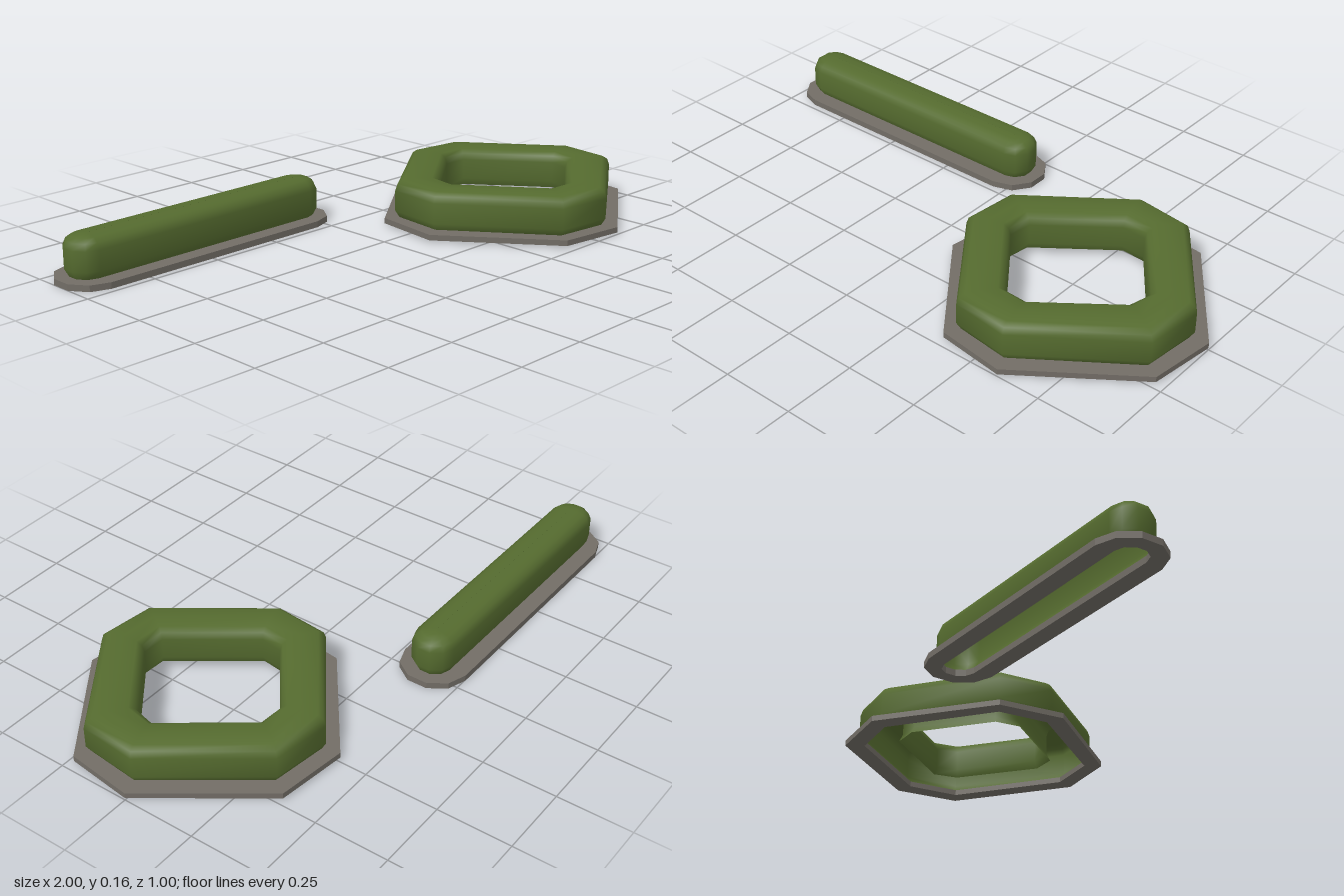
import * as THREE from 'three';

const hedgeGreen = new THREE.MeshStandardMaterial({ color: 0x556b2f, side: THREE.DoubleSide });
hedgeGreen.name = 'hedge green';
const kerbStone = new THREE.MeshStandardMaterial({ color: 0x726d66 });
kerbStone.name = 'kerb stone';

// Smooth skin through closed [x, z] outlines placed at the given heights
function loft(outlines, heights) {
  const n = outlines[0].length, pos = [], idx = [];
  outlines.forEach((o, j) => o.forEach(([x, z]) => pos.push(x, heights[j], z)));
  for (let j = 0; j < outlines.length - 1; j++) {
    for (let i = 0; i < n; i++) {
      const a = j * n + i, b = j * n + (i + 1) % n, c = a + n, d = b + n;
      idx.push(a, c, b, b, c, d);
    }
  }
  const g = new THREE.BufferGeometry();
  g.setAttribute('position', new THREE.Float32BufferAttribute(pos, 3));
  g.setIndex(idx);
  g.computeVertexNormals();
  return g;
}

// Flat frame between two [x, z] outlines
function frame(outer, inner, bottom, top) {
  const points = (o) => o.map(([x, z]) => new THREE.Vector2(x, z));
  const shape = new THREE.Shape(points(outer));
  shape.holes.push(new THREE.Path(points(inner)));
  const g = new THREE.ExtrudeGeometry(shape, { depth: top - bottom, bevelEnabled: false });
  return g.rotateX(Math.PI / 2).translate(0, top, 0);
}

const lerpOutline = (a, b, t) =>
  a.map(([x, z], i) => [x + (b[i][0] - x) * t, z + (b[i][1] - z) * t]);

// Long outline with faceted round ends
function longOutline(halfLength, halfWidth) {
  const cx = -0.47, cz = -0.387, out = [];
  const straight = halfLength - halfWidth * 0.9;
  for (const side of [1, -1]) {
    for (let k = 0; k <= 5; k++) {
      const a = -Math.PI / 2 + (k * Math.PI) / 5;
      out.push([
        cx + side * (straight + Math.cos(a) * halfWidth * 0.9 / Math.cos(Math.PI / 10)),
        cz + side * Math.sin(a) * halfWidth,
      ]);
    }
  }
  return out;
}

function add(group, name, geometry, material) {
  const mesh = new THREE.Mesh(geometry, material);
  mesh.name = name;
  group.add(mesh);
}

export function createModel() {
  const model = new THREE.Group();
  model.name = 'hedges';

  // Eight-sided ring hedge, open underneath
  const ring = new THREE.Group();
  ring.name = 'ringHedge';
  const kerbOuter = [[0.49, -0.4], [0.73, -0.37], [1, 0], [0.97, 0.23],
    [0.6, 0.5], [0.37, 0.47], [0.1, 0.11], [0.13, -0.125]];
  const hedgeOuter = [[0.505, -0.358], [0.705, -0.33], [0.955, 0.01], [0.935, 0.21],
    [0.585, 0.46], [0.39, 0.435], [0.14, 0.09], [0.16, -0.105]];
  const hedgeInner = [[0.535, -0.21], [0.62, -0.205], [0.81, 0.05], [0.79, 0.125],
    [0.555, 0.308], [0.475, 0.305], [0.288, 0.05], [0.3, -0.03]];
  // [fraction from outer to inner wall, height]
  const section = [[0.1, 0.025], [0, 0.05], [0, 0.12], [0.05, 0.142], [0.17, 0.154],
    [0.5, 0.158], [0.83, 0.154], [0.95, 0.142], [1, 0.12], [1, 0.05], [0.92, 0.025]];
  add(ring, 'ringFoliage', loft(
    section.map(([t]) => lerpOutline(hedgeOuter, hedgeInner, t)),
    section.map(([, y]) => y)), hedgeGreen);
  add(ring, 'ringKerb',
    frame(kerbOuter, lerpOutline(hedgeOuter, hedgeInner, 0.13), 0.007, 0.026), kerbStone);
  model.add(ring);

  // Long straight hedge, open underneath
  const long = new THREE.Group();
  long.name = 'longHedge';
  // [inset, height]
  const profile = [[0.014, 0.021], [0, 0.048], [0, 0.115], [0.009, 0.136],
    [0.026, 0.149], [0.05, 0.153], [0.0729, 0.154]];
  add(long, 'longFoliage', loft(
    profile.map(([d]) => longOutline(0.5 - d, 0.073 - d)),
    profile.map(([, y]) => y)), hedgeGreen);
  add(long, 'longKerb',
    frame(longOutline(0.53, 0.115), longOutline(0.483, 0.055), 0, 0.021), kerbStone);
  model.add(long);

  return model;
}
